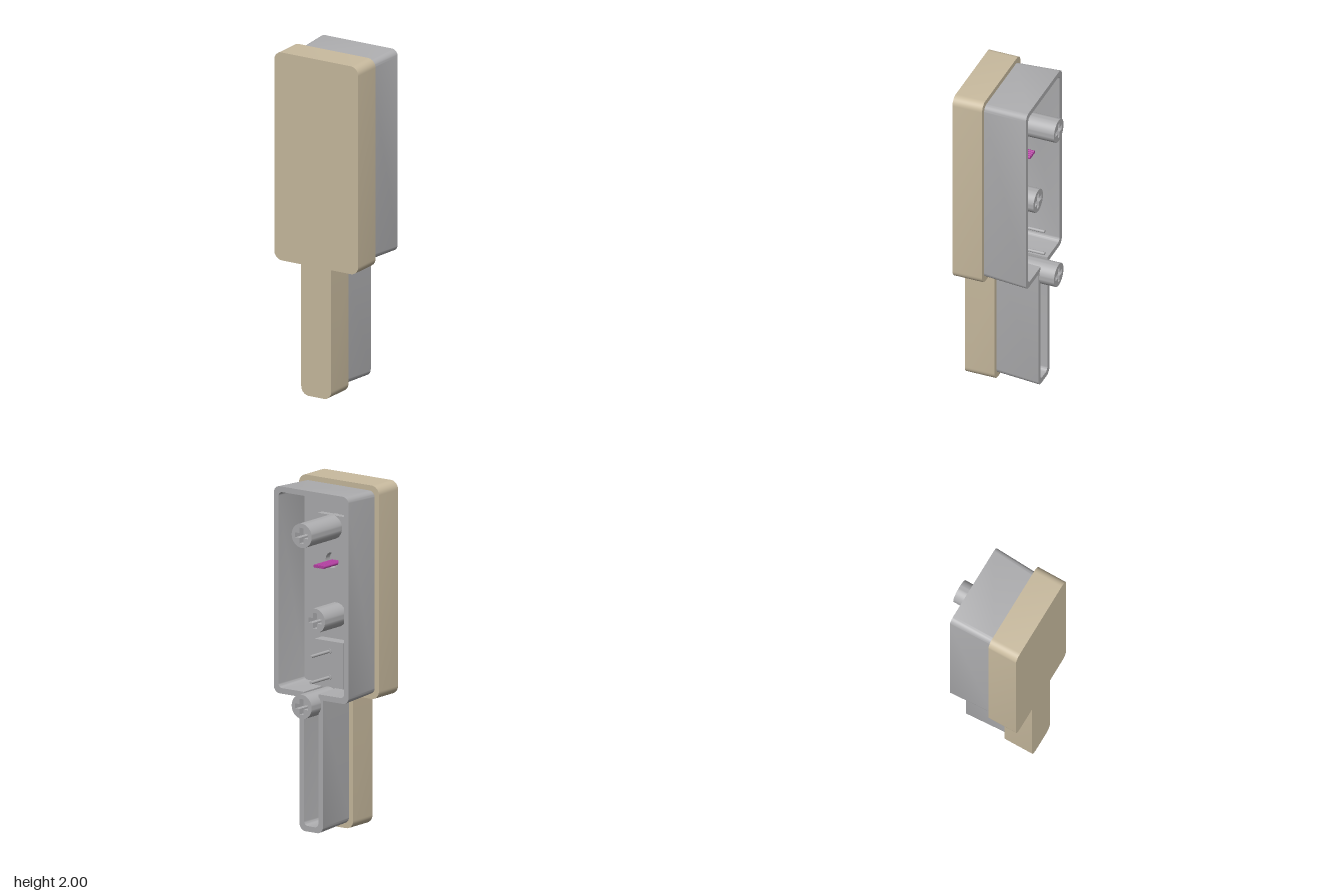
import * as THREE from 'three';
import { toCreasedNormals } from 'three/addons/utils/BufferGeometryUtils.js';

const FLOOR = 0.06, RIM = -0.175;

// Paddle outline inset by d: wide head above a narrow handle, rounded outer corners
function outline(d, r) {
  const w = 0.28 - d, h = 0.1 - d, top = 2 - d, shoulder = 0.77 + d;
  const pts = [];
  const corner = (x, y, start) => {
    for (let i = 0; i <= 8; i++) {
      const a = start + (i / 8) * Math.PI / 2;
      pts.push(new THREE.Vector2(x + r * Math.cos(a), y + r * Math.sin(a)));
    }
  };
  corner(h - r, d + r, -Math.PI / 2);
  pts.push(new THREE.Vector2(h, shoulder));
  corner(w - r, shoulder + r, -Math.PI / 2);
  corner(w - r, top - r, 0);
  corner(-w + r, top - r, Math.PI / 2);
  corner(-w + r, shoulder + r, Math.PI);
  pts.push(new THREE.Vector2(-h, shoulder));
  corner(-h + r, d + r, Math.PI);
  return pts;
}

// Skin joining a series of outlines
function loft(rings) {
  const pos = [];
  for (let k = 0; k < rings.length - 1; k++) {
    const A = rings[k], B = rings[k + 1], n = A.pts.length;
    for (let i = 0; i < n; i++) {
      const j = (i + 1) % n;
      for (const [R, m] of [[A, i], [B, i], [A, j], [A, j], [B, i], [B, j]])
        pos.push(R.pts[m].x, R.pts[m].y, R.z);
    }
  }
  const g = new THREE.BufferGeometry();
  g.setAttribute('position', new THREE.Float32BufferAttribute(pos, 3));
  return toCreasedNormals(g, 0.6);
}

function extrude(shape, z0, z1) {
  const g = new THREE.ExtrudeGeometry(shape, { depth: z1 - z0, bevelEnabled: false, curveSegments: 24 });
  return toCreasedNormals(g.translate(0, 0, z0), 0.6);
}

function rod(r, z0, z1, x, y, sides = 16) {
  return new THREE.CylinderGeometry(r, r, z1 - z0, sides).rotateX(Math.PI / 2).translate(x, y, (z0 + z1) / 2);
}

function rectangle(x, y0, y1) {
  return new THREE.Shape([[-x, y0], [x, y0], [x, y1], [-x, y1]].map(p => new THREE.Vector2(...p)));
}

export function createModel() {
  const group = new THREE.Group();
  const material = (name, color) => {
    const m = new THREE.MeshStandardMaterial({ color });
    m.name = name;
    return m;
  };
  const tan = material('tan', 0xc9bb9f);
  const grey = material('grey', 0xaeaeb0);
  const magenta = material('magenta', 0xb440a2);
  const add = (name, geometry, mat) => {
    const mesh = new THREE.Mesh(geometry, mat);
    mesh.name = name;
    group.add(mesh);
  };

  // Front plate
  add('frontPlate', extrude(new THREE.Shape(outline(0, 0.05)), 0.085, 0.265), tan);

  // Hollow housing, flaring slightly to the open back
  const inner = outline(0.056, 0.022);
  add('housing', loft([
    { z: 0.085, pts: outline(0.03, 0.035) },
    { z: RIM, pts: outline(0.018, 0.04) },
    { z: RIM, pts: outline(0.05, 0.025) },
    { z: FLOOR, pts: inner },
  ]), grey);
  add('housingFloor', new THREE.ShapeGeometry(new THREE.Shape(inner)).rotateY(Math.PI).translate(0, 0, FLOOR), grey);

  // Posts with cross-shaped sockets
  const a = 0.045, b = 0.014;
  const cross = [[b, b], [b, a], [-b, a], [-b, b], [-a, b], [-a, -b], [-b, -b], [-b, -a], [b, -a], [b, -b], [a, -b], [a, b]];
  for (const [y, end] of [[1.743, -0.265], [1.23, -0.14], [0.757, -0.265]]) {
    const shape = new THREE.Shape().absarc(0, 0, 0.07, 0, Math.PI * 2);
    shape.holes.push(new THREE.Path(cross.map(p => new THREE.Vector2(...p))));
    add('socketPost', extrude(shape, end, FLOOR + 0.005).translate(0, y, 0), grey);
  }

  // Upper mounting block with a cable hole
  const upper = rectangle(0.1, 1.455, 1.81);
  upper.holes.push(new THREE.Path().absarc(0, 1.55, 0.045, 0, Math.PI * 2));
  add('upperBlock', extrude(upper, 0.02, FLOOR + 0.005), grey);

  // Ribbon of wires
  for (let i = 0; i < 4; i++)
    add('wire', rod(0.01, -0.105, FLOOR + 0.005, (i - 1.5) * 0.018, 1.535, 10), magenta);

  // Lower block with two contact pins
  add('lowerBlock', extrude(rectangle(0.1, 0.81, 1.09), -0.01, FLOOR + 0.005), grey);
  for (const y of [1.03, 0.88]) {
    add('pin', rod(0.009, -0.18, 0, 0, y), grey);
    add('pinCollar', rod(0.018, -0.014, 0, 0, y), grey);
  }
  return group;
}
